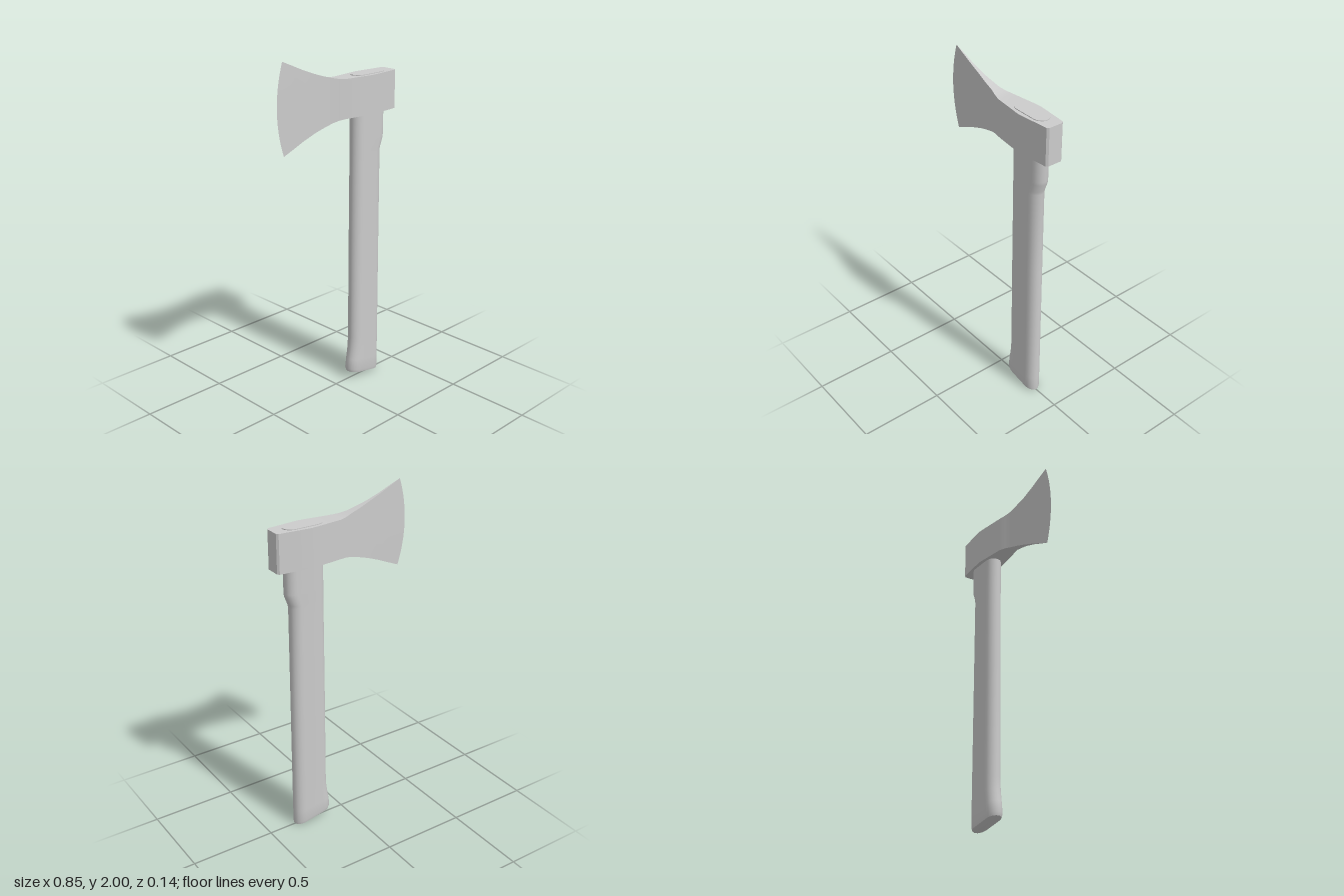
import * as THREE from 'three';
import { toCreasedNormals } from 'three/addons/utils/BufferGeometryUtils.js';

// Skin a list of equal-length rings (counter-clockwise around the travel direction)
function loft(rings, capStart, capEnd) {
  const n = rings[0].length, pos = [], idx = [];
  rings.forEach(r => r.forEach(p => pos.push(p.x, p.y, p.z)));
  for (let i = 0; i < rings.length - 1; i++) {
    for (let j = 0; j < n; j++) {
      const k = (j + 1) % n;
      const a = i * n + j, b = i * n + k, c = b + n, d = a + n;
      idx.push(a, b, c, a, c, d);
    }
  }
  const cap = (i, flip) => {
    const mid = new THREE.Vector3();
    rings[i].forEach(p => mid.addScaledVector(p, 1 / n));
    const m = pos.length / 3;
    pos.push(mid.x, mid.y, mid.z);
    for (let j = 0; j < n; j++) {
      const a = i * n + j, b = i * n + (j + 1) % n;
      if (flip) idx.push(m, b, a); else idx.push(m, a, b);
    }
  };
  if (capStart) cap(0, true);
  if (capEnd) cap(rings.length - 1, false);
  const g = new THREE.BufferGeometry();
  g.setAttribute('position', new THREE.Float32BufferAttribute(pos, 3));
  g.setIndex(idx);
  return toCreasedNormals(g, 0.6);
}

// Head section: upright slab at x, bowed along x toward mid height
function headRing([x, bow, half, thick, tipThick = thick]) {
  const steps = 16, ring = [];
  for (const side of [1, -1]) {
    for (let i = 0; i <= steps; i++) {
      const v = side * (1 - 2 * i / steps);
      const w = 1 - v * v;
      ring.push(new THREE.Vector3(
        x + bow * w, 1.75 + half * v, side * (tipThick + (thick - tipThick) * w)));
    }
  }
  return ring;
}

// Handle section: stadium between xl and xr, tilted from yl to yr
function handleRing([yl, yr, xl, xr, hz]) {
  const steps = 10, rx = 0.055, ring = [];
  for (const side of [1, -1]) {
    const cx = side > 0 ? xr - rx : xl + rx;
    for (let i = 0; i <= steps; i++) {
      const a = Math.PI * i / steps;
      const x = cx + side * rx * Math.sin(a);
      const t = (x - xl) / (xr - xl);
      ring.push(new THREE.Vector3(x, yl + (yr - yl) * t, side * hz * Math.cos(a)));
    }
  }
  return ring;
}

export function createModel() {
  const group = new THREE.Group();
  const material = new THREE.MeshStandardMaterial({ color: 0xcccccc });
  const add = (name, geometry) => {
    const mesh = new THREE.Mesh(geometry, material);
    mesh.name = name;
    group.add(mesh);
  };

  // Axe head, from cutting edge to poll: x, bow, half height, half thickness, thickness at tips
  add('axeHead', loft([
    [-0.385, -0.042, 0.25, 0],
    [-0.385, 0.08, 0.25, 0.0055, 0.0005],
    [-0.32, 0.06, 0.222, 0.0075, 0.004],
    [-0.25, 0.03, 0.191, 0.0095, 0.007],
    [-0.17, 0.01, 0.16, 0.0135, 0.012],
    [-0.11, 0, 0.14, 0.0195],
    [-0.05, 0, 0.123, 0.026],
    [-0.01, 0, 0.114, 0.037],
    [0.03, 0, 0.11, 0.048],
    [0.125, 0, 0.11, 0.0595],
    [0.2, 0, 0.11, 0.0685],
    [0.225, 0, 0.11, 0.07],
    [0.25, 0, 0.11, 0.0685],
    [0.415, 0, 0.11, 0.053],
    [0.425, 0, 0.11, 0.042],
  ].map(headRing), false, true));

  // Handle, from slanted butt to the end showing in the eye: yl, yr, xl, xr, half thickness
  add('handle', loft([
    [0.045, 0, 0.112, 0.33, 0.036],
    [0.049, 0.004, 0.101, 0.335, 0.043],
    [0.07, 0.02, 0.095, 0.337, 0.047],
    [0.13, 0.1, 0.103, 0.337, 0.047],
    [0.2, 0.2, 0.114, 0.337, 0.047],
    [0.27, 0.27, 0.118, 0.337, 0.047],
    [0.9, 0.9, 0.12, 0.335, 0.047],
    [1.41, 1.41, 0.123, 0.334, 0.047],
    [1.43, 1.43, 0.123, 0.338, 0.047],
    [1.48, 1.48, 0.123, 0.357, 0.047],
    [1.5, 1.5, 0.123, 0.36, 0.047],
    [1.864, 1.864, 0.123, 0.361, 0.047],
  ].map(handleRing), true, true));

  return group;
}
